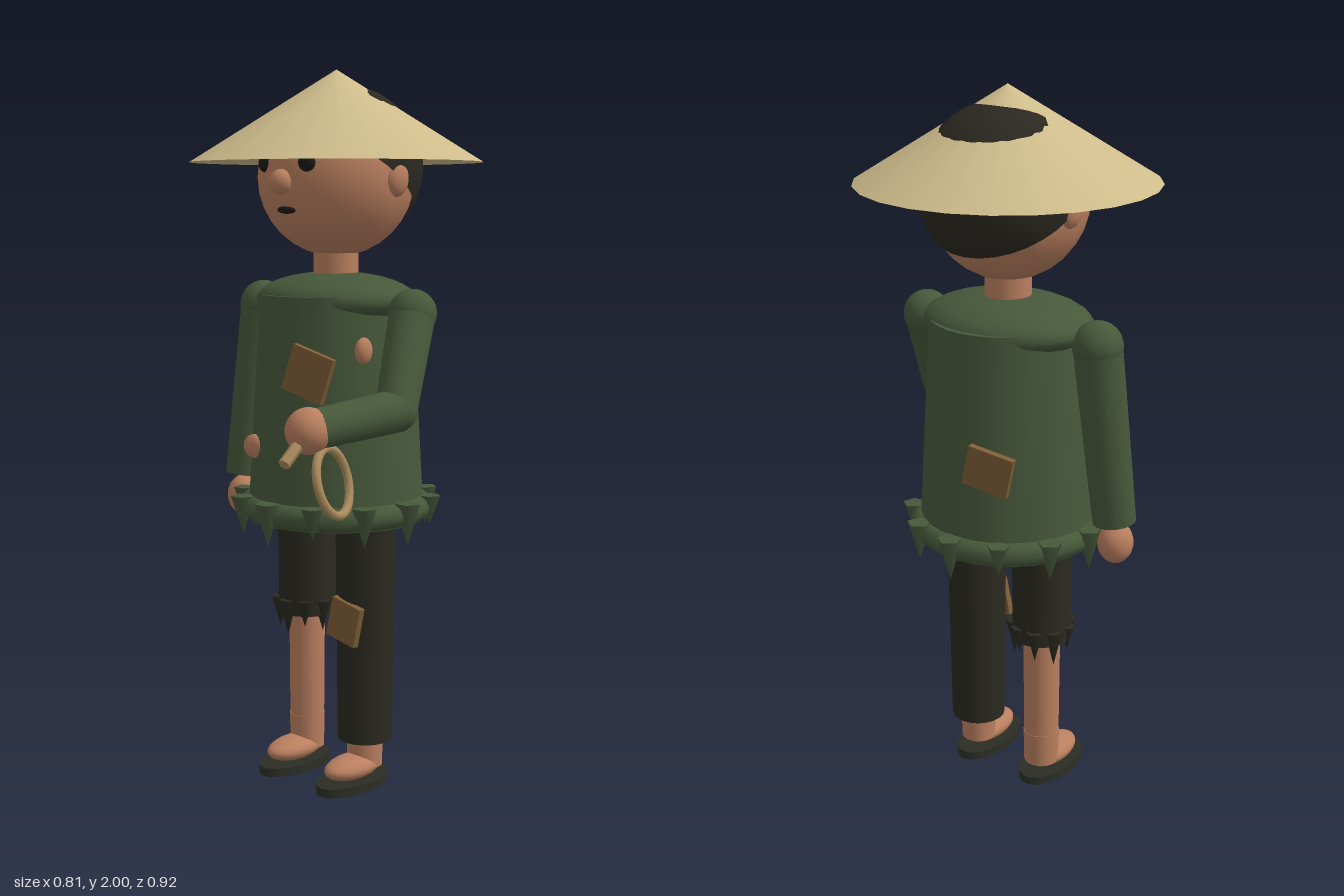
import * as THREE from 'three';

const mat = (name, color, side = THREE.FrontSide) => {
  const m = new THREE.MeshStandardMaterial({ color, side });
  m.name = name;
  return m;
};

export function createModel() {
  const skin = mat('skin', 0xb97f5f);
  const cloth = mat('green cloth', 0x47583a);
  const trouser = mat('dark trousers', 0x2a2a20);
  const hairMat = mat('black hair', 0x2a2820, THREE.DoubleSide);
  const straw = mat('straw', 0xcdbb8a, THREE.DoubleSide);
  const patchMat = mat('brown patch', 0x7f5e36);
  const wood = mat('wood', 0xa88a5c);
  const dark = mat('sole', 0x2b2e25);
  const black = mat('eye black', 0x1c1a18);
  const Z = -0.055; // body axis

  const model = new THREE.Group();
  model.name = 'strawHatWanderer';
  const V = (x, y, z) => new THREE.Vector3(x, y, z);

  const add = (name, geo, material, x = 0, y = 0, z = 0, rx = 0, ry = 0, rz = 0) => {
    const m = new THREE.Mesh(geo, material);
    m.name = name;
    m.position.set(x, y, z);
    m.rotation.set(rx, ry, rz);
    model.add(m);
    return m;
  };
  const ball = (name, material, x, y, z, rx, ry = rx, rz = rx) => {
    const m = add(name, new THREE.SphereGeometry(1, 24, 16), material, x, y, z);
    m.scale.set(rx, ry, rz);
    return m;
  };
  // Tapered cylinder between two points
  const limb = (name, material, a, b, ra, rb, sides = 20) => {
    const dir = b.clone().sub(a);
    const m = add(name, new THREE.CylinderGeometry(rb, ra, dir.length(), sides), material);
    m.position.copy(a).add(b).multiplyScalar(0.5);
    m.quaternion.setFromUnitVectors(V(0, 1, 0), dir.normalize());
    return m;
  };
  // Ring of points hanging down from a ragged edge
  const tatters = (name, material, count, cx, top, cz, ring, radius, lengths) => {
    for (let i = 0; i < count; i++) {
      const a = (i / count) * Math.PI * 2, h = lengths[i % lengths.length];
      add(name, new THREE.ConeGeometry(radius * (0.6 + 0.4 * h / lengths[0]), h, 5), material,
        cx + Math.sin(a) * ring, top - h / 2, cz + Math.cos(a) * ring, Math.PI, 0, 0);
    }
  };
  const patch = (name, w, h, x, y, z, ry, rz) => {
    const m = add(name, new THREE.BoxGeometry(w, h, 0.02), patchMat, x, y, z);
    m.rotation.set(0, ry, rz, 'YXZ');
  };

  // Head and face
  ball('head', skin, 0, 1.71, Z, 0.217);
  ball('nose', skin, 0, 1.695, 0.157, 0.035);
  ball('mouth', black, 0, 1.622, 0.138, 0.034, 0.011, 0.012);
  for (const s of [1, -1]) {
    ball('ear', skin, s * 0.205, 1.705, -0.07, 0.028, 0.05, 0.042);
    ball('eye', black, s * 0.075, 1.745, 0.138, 0.028, 0.025, 0.018);
  }
  add('hair', new THREE.SphereGeometry(0.226, 32, 20, 0, Math.PI * 2, 0, Math.PI * 0.54),
    hairMat, 0, 1.735, -0.075, -0.59);
  add('neck', new THREE.CylinderGeometry(0.063, 0.063, 0.12, 20), skin, 0, 1.48, Z);

  // Open conical hat
  add('hat', new THREE.ConeGeometry(0.406, 0.25, 24, 1, true), straw, 0, 1.875, Z);

  // Tunic with rounded shoulders and ragged hem
  add('tunic', new THREE.CylinderGeometry(0.213, 0.25, 0.63, 28), cloth, 0, 1.075, Z);
  ball('shoulderYoke', cloth, 0, 1.375, Z, 0.245, 0.077, 0.2);
  const hem = add('hem', new THREE.TorusGeometry(0.24, 0.035, 10, 32), cloth, 0, 0.795, Z, Math.PI / 2);
  hem.name = 'hem';
  tatters('hemTatter', cloth, 12, 0, 0.83, Z, 0.27, 0.036, [0.12, 0.085, 0.11]);

  // Patches and holes showing skin
  patch('chestPatch', 0.127, 0.127, 0.11, 1.19, 0.168, 0.25, -0.32);
  patch('backPatch', 0.13, 0.11, -0.1, 1.035, -0.283, Math.PI + 0.2, -0.2);
  patch('trouserPatch', 0.105, 0.115, 0.115, 0.485, 0.028, 0, -0.22);
  ball('bellyHole', skin, -0.11, 0.97, 0.155, 0.042, 0.034, 0.02);
  ball('sideHole', skin, 0.2, 1.25, 0.05, 0.02, 0.036, 0.028);

  // Hanging right arm
  const rs = V(-0.28, 1.35, -0.045), rw = V(-0.318, 0.85, -0.005);
  ball('rightShoulder', cloth, rs.x, rs.y, rs.z, 0.068);
  limb('rightSleeve', cloth, rs, rw, 0.066, 0.06);
  ball('rightHand', skin, -0.32, 0.785, 0, 0.05, 0.06, 0.05);

  // Bent left arm
  const ls = V(0.28, 1.348, Z), le = V(0.342, 1.105, 0.08), lw = V(0.3, 1.08, 0.34);
  ball('leftShoulder', cloth, ls.x, ls.y, ls.z, 0.066);
  limb('leftUpperSleeve', cloth, ls, le, 0.063, 0.056);
  ball('leftElbow', cloth, le.x, le.y, le.z, 0.057);
  limb('leftForeSleeve', cloth, le, lw, 0.057, 0.052);
  ball('leftHand', skin, 0.292, 1.077, 0.355, 0.06);

  // Held ring and its handle
  const ring = add('heldRing', new THREE.TorusGeometry(0.087, 0.012, 8, 28), wood, 0.33, 0.945, 0.305);
  ring.rotation.set(0, Math.PI / 2 + 0.32, 0.0);
  ring.rotateX(-0.25);
  limb('handle', wood, V(0.29, 1.08, 0.35), V(0.306, 1.005, 0.455), 0.016, 0.016, 6);

  // Trousers, one leg torn short
  add('leftTrouser', new THREE.CylinderGeometry(0.086, 0.078, 0.7, 20), trouser, 0.115, 0.48, Z);
  add('rightTrouser', new THREE.CylinderGeometry(0.086, 0.083, 0.37, 20), trouser, -0.115, 0.645, Z);
  tatters('trouserTatter', trouser, 9, -0.115, 0.505, Z, 0.078, 0.027, [0.105, 0.075, 0.09]);
  add('rightShin', new THREE.CylinderGeometry(0.053, 0.05, 0.44, 20), skin, -0.115, 0.29, Z);

  // Ankles, feet and sandal soles
  for (const s of [1, -1]) {
    const x = s * 0.115;
    add('ankle', new THREE.CylinderGeometry(0.052, 0.05, 0.1, 20), skin, x, 0.1, Z);
    ball('foot', skin, x, 0.056, -0.003, 0.056, 0.034, 0.1);
    const sole = add('sole', new THREE.CylinderGeometry(1, 1, 0.025, 24), dark, x, 0.0125, -0.003);
    sole.scale.set(0.07, 1, 0.13);
  }
  return model;
}
